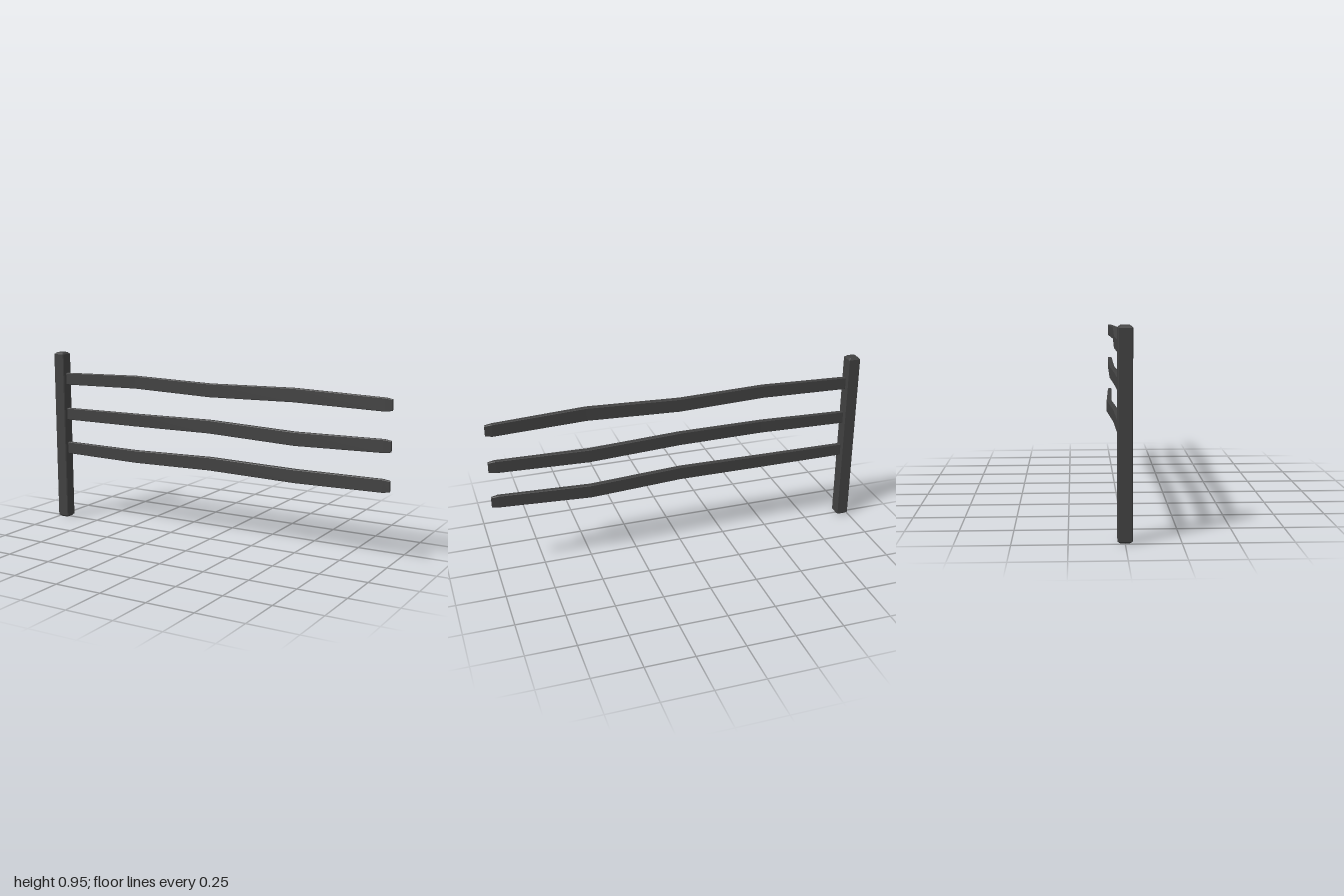
import * as THREE from 'three';

const wood = new THREE.MeshStandardMaterial({ color: 0x404040, flatShading: true });

// Solid beam along x, lofted through chamfered rectangles.
// Each section: [x, centreY, centreZ, halfHeight, halfDepth]
function beam(sections, chamfer) {
  const pos = [], idx = [];
  for (const [x, cy, cz, h, d] of sections) {
    const a = h - chamfer, b = d - chamfer;
    const ring = [[h, -b], [h, b], [a, d], [-a, d], [-h, b], [-h, -b], [-a, -d], [a, -d]];
    for (const [y, z] of ring) pos.push(x, cy + y, cz + z);
  }
  const n = 8, last = (sections.length - 1) * n;
  for (let s = 0; s < last; s += n) {
    for (let j = 0; j < n; j++) {
      const k = (j + 1) % n;
      idx.push(s + j, s + k, s + n + k, s + j, s + n + k, s + n + j);
    }
  }
  // end caps
  for (let j = 1; j < n - 1; j++) {
    idx.push(0, j + 1, j, last, last + j, last + j + 1);
  }
  const g = new THREE.BufferGeometry();
  g.setAttribute('position', new THREE.Float32BufferAttribute(pos, 3));
  g.setIndex(idx);
  const flat = g.toNonIndexed();
  flat.computeVertexNormals();
  return flat;
}

// Rail with bent middle stations; bends are [dy, dz] at x = -0.46, 0, 0.49
function rail(name, y, bends) {
  const [p, q, r] = bends;
  const mesh = new THREE.Mesh(beam([
    [-0.96, y, 0, 0.032, 0.009],
    [-0.93, y, 0, 0.033, 0.011],
    [-0.46, y + p[0], p[1], 0.034, 0.013],
    [0, y + q[0], q[1], 0.035, 0.014],
    [0.49, y + r[0], r[1], 0.035, 0.014],
    [0.965, y, 0, 0.033, 0.011],
    [1, y, 0, 0.028, 0.007],
  ], 0.003), wood);
  mesh.name = name;
  return mesh;
}

export function createModel() {
  const fence = new THREE.Group();
  fence.name = 'fence';

  // upright post with bevelled ends
  const H = 0.955, W = 0.033, T = 0.022, B = 0.01;
  const post = new THREE.Mesh(beam([
    [0, 0, 0, T, T],
    [B, 0, 0, W, W],
    [H - B, 0, 0, W, W],
    [H, 0, 0, T, T],
  ], 0.004).rotateZ(Math.PI / 2), wood);
  post.name = 'post';
  post.position.x = -1 + W;
  fence.add(post);

  // three uneven rails
  fence.add(
    rail('topRail', 0.806, [[0.012, 0.006], [0, 0.003], [0.013, 0.016]]),
    rail('middleRail', 0.605, [[0.006, 0.015], [0.009, 0.004], [-0.01, -0.003]]),
    rail('bottomRail', 0.409, [[-0.003, 0.009], [0.005, 0], [-0.01, -0.02]]),
  );
  return fence;
}
